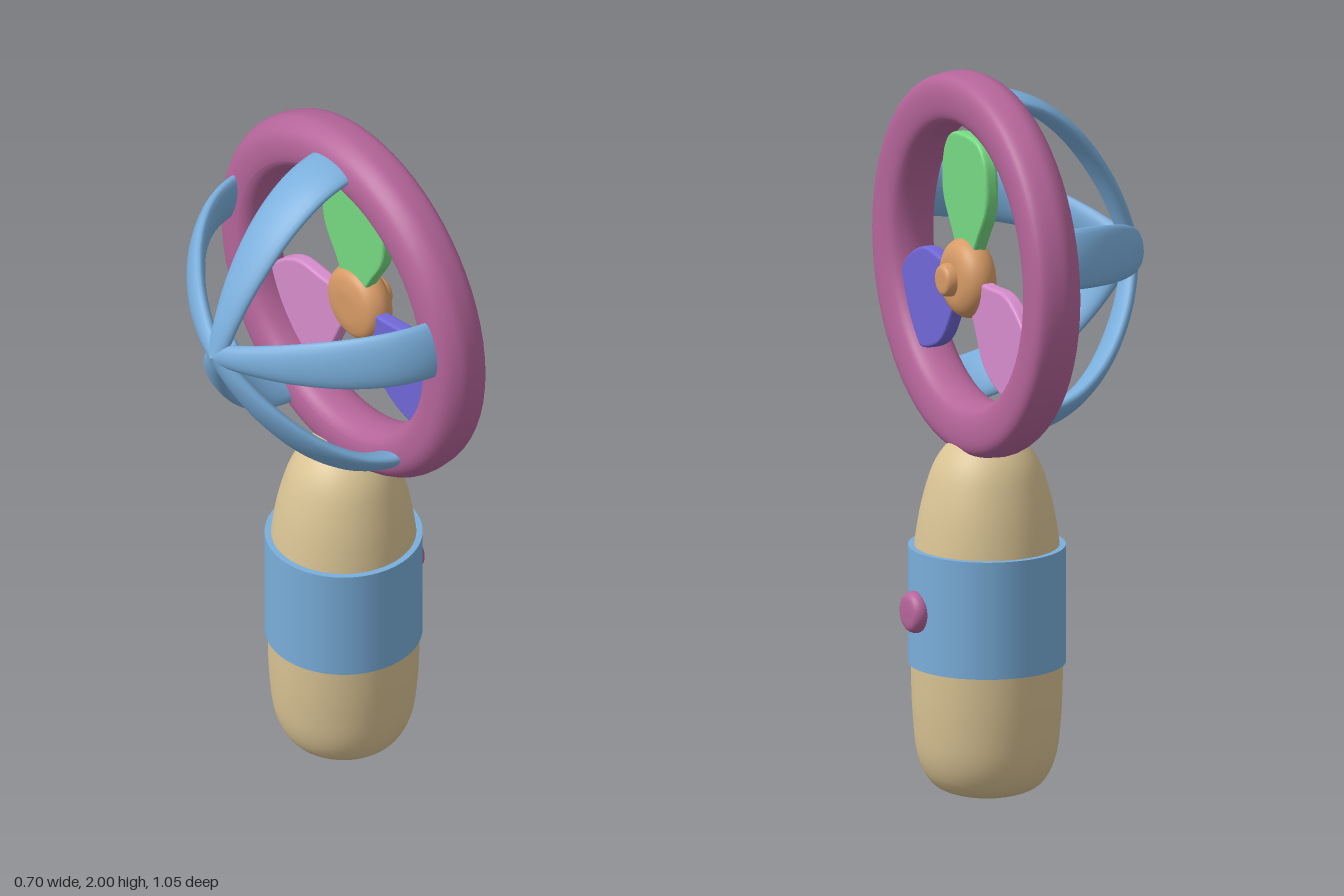
import * as THREE from 'three';

const BLUE = 0x7aaedb, TAN = 0xd9c394, PLUM = 0xb5659a, ORANGE = 0xd69a66;
const AXIS_Y = 1.475, HUB_Y = 1.44;

const v2 = ([x, y]) => new THREE.Vector2(x, y);

function add(parent, name, geometry, color, x = 0, y = 0, z = 0) {
  const mesh = new THREE.Mesh(geometry, new THREE.MeshStandardMaterial({ color }));
  mesh.name = name;
  mesh.position.set(x, y, z);
  parent.add(mesh);
  return mesh;
}

// Smooth lathe through [radius, height] points; alongX turns its axis to +x
function turned(points, { closed = false, alongX = false, steps = 48 } = {}) {
  const curve = new THREE.CatmullRomCurve3(
    points.map(([r, h]) => new THREE.Vector3(r, h, 0)), closed, 'centripetal');
  const profile = curve.getPoints(steps).map(p => new THREE.Vector2(Math.max(p.x, 0), p.y));
  const geometry = new THREE.LatheGeometry(profile, 64);
  return alongX ? geometry.rotateZ(-Math.PI / 2) : geometry;
}

// Cage rib: an elliptical section swept from the rear tip to the rim, wider towards the rim
function ribGeometry() {
  const path = new THREE.CatmullRomCurve3([
    [-0.325, 0], [-0.295, 0.09], [-0.235, 0.21], [-0.14, 0.335], [-0.04, 0.415], [0.04, 0.447], [0.1, 0.455],
  ].map(([x, r]) => new THREE.Vector3(x, r, 0)));
  const rows = 32, sides = 20, pos = [], index = [];
  for (let i = 0; i <= rows; i++) {
    const t = i / rows, p = path.getPointAt(t), d = path.getTangentAt(t);
    const half = 0.03 + 0.052 * Math.sin(Math.min(t * 1.1, 1) * Math.PI / 2);
    const thick = 0.022 + 0.004 * t;
    for (let j = 0; j < sides; j++) {
      const a = j / sides * Math.PI * 2, c = Math.cos(a) * thick;
      pos.push(p.x - d.y * c, p.y + d.x * c, Math.sin(a) * half);
      if (i < rows) {
        const k = i * sides + j, n = i * sides + (j + 1) % sides;
        index.push(k, n, k + sides, n, n + sides, k + sides);
      }
    }
  }
  const g = new THREE.BufferGeometry();
  g.setAttribute('position', new THREE.Float32BufferAttribute(pos, 3));
  g.setIndex(index);
  g.computeVertexNormals();
  return g;
}

// Teardrop blade pointing up, with a softly bevelled edge
function bladeGeometry() {
  const outline = [
    [0.025, 0.04], [0.07, 0.12], [0.118, 0.2], [0.127, 0.27], [0.11, 0.345], [0.06, 0.385],
  ];
  const mirrored = outline.map(([x, y]) => [-x, y]).reverse();
  const shape = new THREE.Shape();
  shape.moveTo(...outline[0]);
  shape.splineThru([...outline.slice(1), ...mirrored].map(v2));
  shape.closePath();
  const g = new THREE.ExtrudeGeometry(shape, {
    depth: 0.02, curveSegments: 40, bevelThickness: 0.01, bevelSize: 0.008, bevelSegments: 3,
  });
  return g.translate(0, 0, -0.01).rotateY(Math.PI / 2);
}

export function createModel() {
  const model = new THREE.Group();
  model.name = 'handheldFan';

  // Handle with grip band and push button
  add(model, 'handle', turned([
    [0, 0], [0.08, 0.008], [0.145, 0.035], [0.183, 0.1], [0.2, 0.22], [0.205, 0.4], [0.203, 0.6],
    [0.193, 0.72], [0.17, 0.84], [0.135, 0.935], [0.08, 0.995], [0, 1.018],
  ]), TAN, 0.105);
  const band = [[0.19, 0.37], [0.213, 0.37], [0.213, 0.695], [0.19, 0.695]];
  const bandPoints = band.flatMap((p, i) => i === 1 || i === 2 ? [v2(p), v2(p)] : [v2(p)]);
  const bandMesh = add(model, 'gripBand', new THREE.LatheGeometry(bandPoints, 64), BLUE, 0.105);
  bandMesh.material.side = THREE.DoubleSide;
  add(model, 'button', turned([
    [0, 0], [0.04, 0], [0.055, 0.012], [0.056, 0.03], [0.045, 0.045], [0, 0.05],
  ], { alongX: true }), PLUM, 0.3, 0.53);

  // Rim ring
  add(model, 'rim', turned([
    [0.41, 0.062], [0.47, 0.06], [0.5, 0.075], [0.522, 0.11], [0.525, 0.14], [0.514, 0.19],
    [0.49, 0.205], [0.43, 0.205], [0.395, 0.19], [0.376, 0.14], [0.385, 0.085],
  ], { closed: true, alongX: true, steps: 64 }), PLUM, 0, AXIS_Y);

  // Rear cage: five ribs meeting at a tip
  const cage = new THREE.Group();
  cage.name = 'rearCage';
  cage.position.y = AXIS_Y;
  model.add(cage);
  const rib = ribGeometry();
  for (const degrees of [0, 77, 148, -148, -77])
    add(cage, 'cageRib', rib, BLUE).rotation.x = THREE.MathUtils.degToRad(degrees);
  add(cage, 'cageTip', turned([
    [0, -0.27], [0.04, -0.275], [0.06, -0.29], [0.045, -0.315], [0.02, -0.335], [0, -0.35],
  ].reverse(), { alongX: true }), BLUE);

  // Rotor: hub with nose cap and three blades
  const rotor = new THREE.Group();
  rotor.name = 'rotor';
  rotor.position.y = HUB_Y;
  model.add(rotor);
  add(rotor, 'hub', turned([
    [0, 0.11], [0.06, 0.112], [0.095, 0.125], [0.11, 0.16], [0.1, 0.192], [0.07, 0.212], [0, 0.216],
  ], { alongX: true }), ORANGE);
  add(rotor, 'noseCap', turned([
    [0, 0.2], [0.042, 0.205], [0.045, 0.225], [0.038, 0.242], [0, 0.246],
  ], { alongX: true }), ORANGE);
  const blade = bladeGeometry();
  for (const [degrees, color] of [[0, 0x76d982], [114, 0x7067d6], [-121, 0xd58ccb]])
    add(rotor, 'blade', blade, color, 0.155).rotation.x = THREE.MathUtils.degToRad(degrees);

  return model;
}
